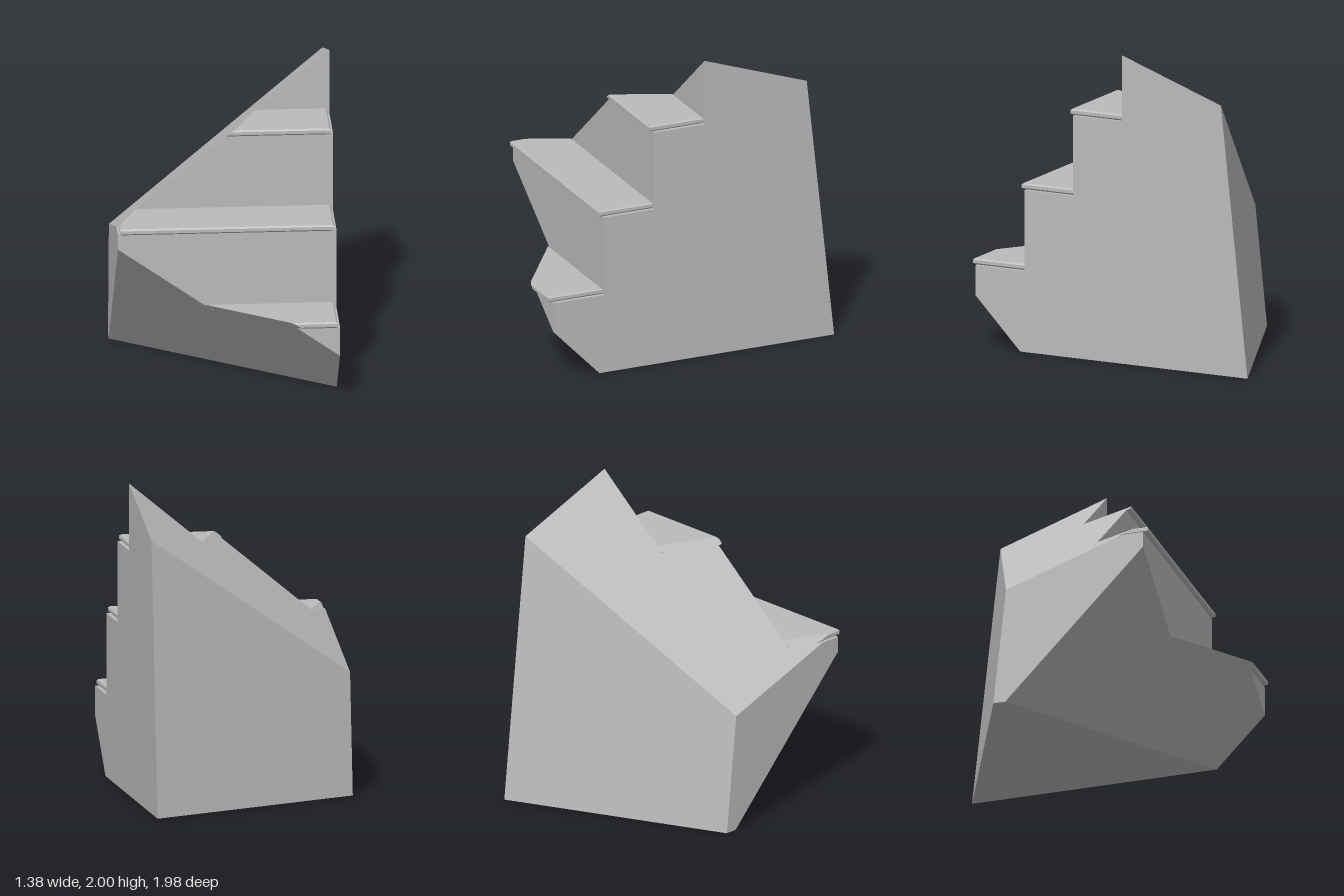
import * as THREE from 'three';

const V = (x, y, z) => new THREE.Vector3(x, y, z);
const W = 0.692; // half width of the stair block

// Slanted cutting planes through a point; everything on the normal's side is removed
const cut = (normal, point) =>
  new THREE.Plane().setFromNormalAndCoplanarPoint(normal.normalize(), point);
const cuts = [
  cut(V(-0.686, -0.97, 1), V(W, 0, 0.64)),   // underside, front left
  cut(V(-0.435, 0.1086, -1), V(W, 0, -0.99)), // back
  cut(V(-0.829, 1, -0.352), V(W, 2, -0.09)),  // sloping top
];

// Orders the corners of a convex face counter-clockwise around a normal
function orderCorners(points, normal) {
  const c = points.reduce((s, p) => s.add(p), V(0, 0, 0)).divideScalar(points.length);
  const u = points[0].clone().sub(c).normalize();
  const v = normal.clone().cross(u);
  const angle = (p) => {
    const d = p.clone().sub(c);
    return Math.atan2(d.dot(v), d.dot(u));
  };
  return points.slice().sort((a, b) => angle(a) - angle(b));
}

// Trims convex faces by a plane and closes the opening with a flat cap
function clip(faces, plane) {
  const kept = [], rim = [];
  for (const face of faces) {
    const out = [];
    face.forEach((a, i) => {
      const b = face[(i + 1) % face.length];
      const da = plane.distanceToPoint(a), db = plane.distanceToPoint(b);
      if (da <= 0) out.push(a);
      if (da * db < 0) {
        const p = a.clone().lerp(b, da / (da - db));
        out.push(p);
        if (!rim.some((q) => q.distanceTo(p) < 1e-5)) rim.push(p);
      }
    });
    if (out.length > 2) kept.push(out);
  }
  if (rim.length > 2) kept.push(orderCorners(rim, plane.normal));
  return kept;
}

// Trims a convex solid by all the planes and turns it into flat-faced geometry
function solid(faces) {
  faces = cuts.reduce(clip, faces);
  const all = faces.flat();
  const centre = all.reduce((s, p) => s.add(p), V(0, 0, 0)).divideScalar(all.length);
  const triangles = [];
  for (const f of faces) {
    for (let i = 1; i < f.length - 1; i++) {
      const t = [f[0], f[i], f[i + 1]];
      const n = t[1].clone().sub(t[0]).cross(t[2].clone().sub(t[0]));
      if (n.length() < 1e-9) continue;
      if (n.dot(t[0].clone().sub(centre)) < 0) t.reverse();
      triangles.push(...t);
    }
  }
  const geometry = new THREE.BufferGeometry().setFromPoints(triangles);
  geometry.computeVertexNormals();
  return geometry;
}

// One column of the block; its riser only shows above the step in front
function columnFaces(back, front, stepBelow, height) {
  const side = (x) => [V(x, 0, front), V(x, 0, back), V(x, height, back), V(x, height, front)];
  const level = (y) => [V(-W, y, front), V(W, y, front), V(W, y, back), V(-W, y, back)];
  const riser = [V(-W, stepBelow, front), V(W, stepBelow, front), V(W, height, front), V(-W, height, front)];
  return [side(W), side(-W), level(0), level(height), riser];
}

// Tread board with bevelled edges, as stacked rectangles
function treadFaces(back, front, y) {
  const e = 0.01;
  const rings = [[e, 0], [0, e], [0, 0.04 - e], [e, 0.04]].map(([inset, h]) => {
    const l = -0.68 + inset, r = 0.677 - inset, f = front - inset, b = back + inset;
    return [V(l, y + h, f), V(r, y + h, f), V(r, y + h, b), V(l, y + h, b)];
  });
  const faces = [rings[0], rings[3]];
  for (let k = 0; k < 3; k++) {
    for (let i = 0; i < 4; i++) {
      const j = (i + 1) % 4;
      faces.push([rings[k][i], rings[k][j], rings[k + 1][j], rings[k + 1][i]]);
    }
  }
  return faces;
}

export function createModel() {
  const group = new THREE.Group();
  group.name = 'cutStairBlock';
  const stone = new THREE.MeshStandardMaterial({ color: 0xbbbbbb });
  stone.name = 'grey stone';
  const add = (name, faces) => {
    const mesh = new THREE.Mesh(solid(faces), stone);
    mesh.name = name;
    group.add(mesh);
  };

  const risers = [0.96, 0.61, 0.26, -0.09, -1.5]; // riser depths, front to back
  const levels = [0, 0.525, 1.05, 1.57, 2.5];     // step heights
  for (let i = 0; i < 4; i++) {
    add('stairColumn' + (i + 1), columnFaces(risers[i + 1], risers[i], levels[i], levels[i + 1]));
    if (i < 3) add('tread' + (i + 1), treadFaces(risers[i + 1], risers[i] + 0.027, levels[i + 1]));
  }
  return group;
}
